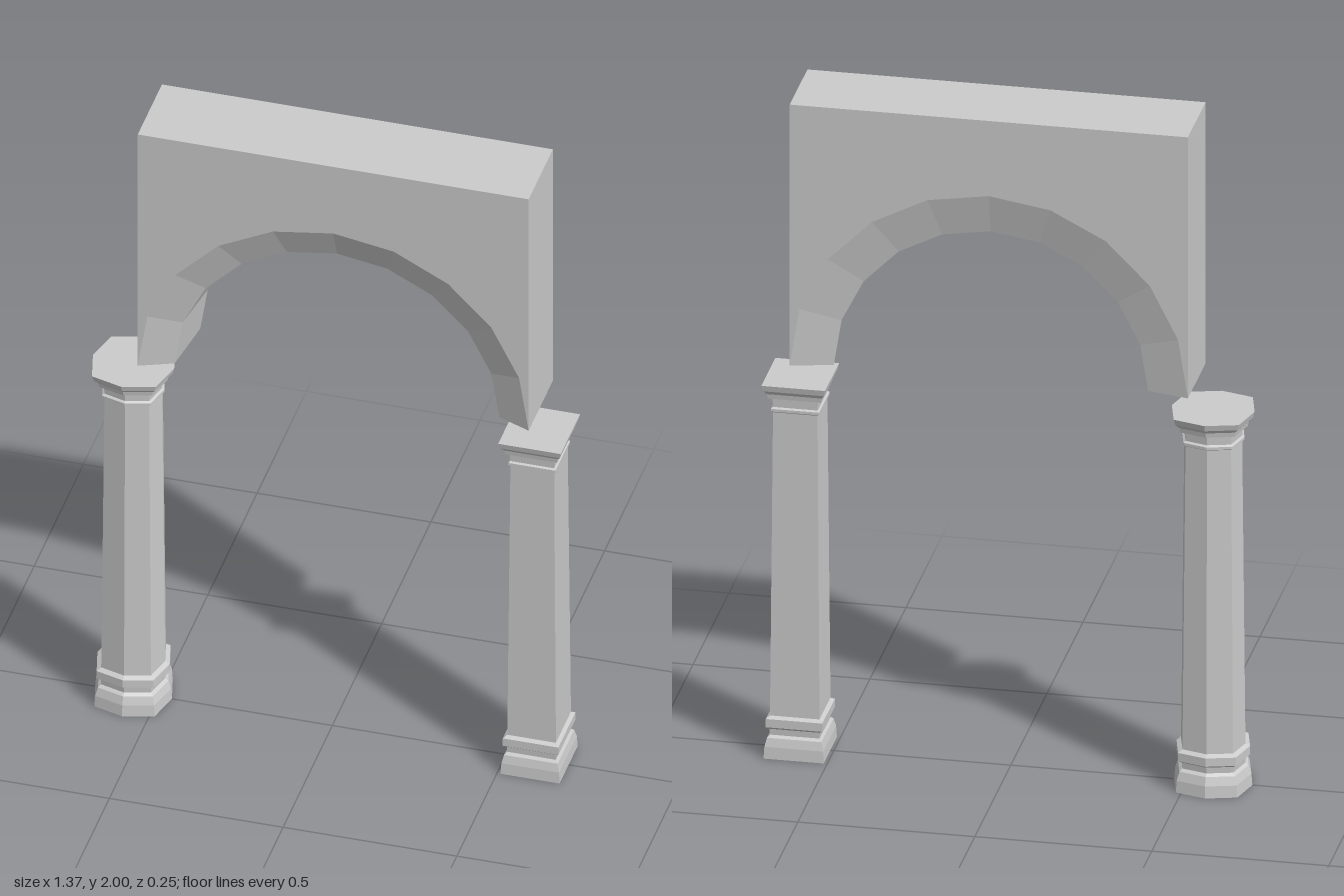
import * as THREE from 'three';

const material = new THREE.MeshStandardMaterial({ color: 0xcccccc, flatShading: true });

// Skin a row of closed cross-sections and fan-fill both ends
function loft(sections, name) {
  const out = [];
  const tri = (a, b, c) => out.push(...a, ...b, ...c);
  const n = sections[0].length;
  for (let i = 0; i < sections.length - 1; i++) {
    const a = sections[i], b = sections[i + 1];
    for (let k = 0; k < n; k++) {
      const m = (k + 1) % n;
      tri(a[k], b[k], b[m]);
      tri(a[k], b[m], a[m]);
    }
  }
  const first = sections[0], last = sections[sections.length - 1];
  for (let k = 1; k < n - 1; k++) {
    tri(first[0], first[k], first[k + 1]);
    tri(last[0], last[k + 1], last[k]);
  }
  const geometry = new THREE.BufferGeometry();
  geometry.setAttribute('position', new THREE.Float32BufferAttribute(out, 3));
  geometry.computeVertexNormals();
  const mesh = new THREE.Mesh(geometry, material);
  mesh.name = name;
  return mesh;
}

// Column mouldings: [relative half width, height]
const profile = [
  [0.085, 0], [0.083, 0.035], [0.077, 0.06], [0.07, 0.067], [0.071, 0.085],
  [0.08, 0.093], [0.08, 0.118], [0.07, 0.125],
  [0.063, 1.04], [0.068, 1.044], [0.068, 1.052], [0.063, 1.056],
  [0.064, 1.082], [0.075, 1.086], [0.077, 1.1], [0.086, 1.112], [0.09, 1.13],
];

function column(name, x, plan) {
  const sections = profile.map(([w, y]) =>
    plan.map(([px, pz]) => [(px * w) / 0.09, y, (pz * w) / 0.09]));
  const mesh = loft(sections, name);
  mesh.position.x = x;
  return mesh;
}

// Wall with a round opening whose edges are chamfered front and back
function archWall() {
  const cx = 0.037, spring = 1.21, top = 2, outer = 0.5625, steps = 10;
  const front = 0.122, back = -0.124;
  const sections = [];
  for (let i = 0; i <= steps; i++) {
    const a = (Math.PI * i) / steps;
    const at = (r, z) => [cx + r * Math.cos(a), spring + r * Math.sin(a), z];
    const x = cx + outer * Math.cos(a);
    sections.push([
      at(outer, front), at(0.467, 0.083), at(0.444, -0.095), at(outer, back),
      [x, top, back], [x, top, front],
    ]);
  }
  return loft(sections, 'archWall');
}

export function createModel() {
  const group = new THREE.Group();
  group.name = 'archway';

  // Column plans at the capital's top edge
  const square = [[0.09, 0.098], [-0.09, 0.098], [-0.09, -0.098], [0.09, -0.098]];
  const octagon = [
    [0.117, 0], [0.092, 0.098], [0, 0.124], [-0.092, 0.098],
    [-0.117, 0], [-0.092, -0.098], [0, -0.124], [0.092, -0.098],
  ];

  group.add(
    archWall(),
    column('leftSquareColumn', 0.595, square),
    column('rightOctagonalColumn', -0.572, octagon),
  );
  return group;
}
